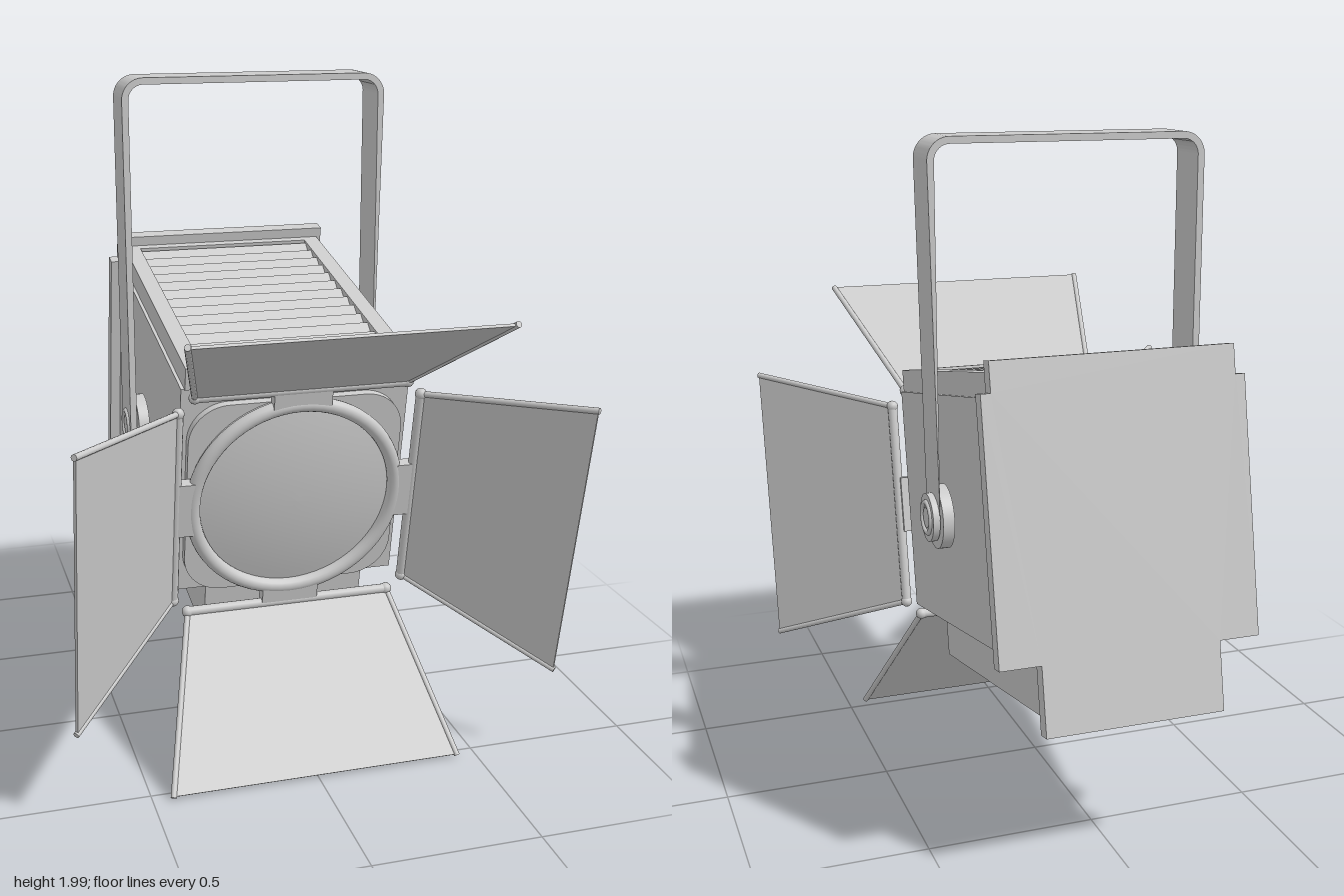
import * as THREE from 'three';
import { toCreasedNormals } from 'three/addons/utils/BufferGeometryUtils.js';

const material = new THREE.MeshStandardMaterial({ color: 0xcccccc, side: THREE.DoubleSide });

function add(parent, name, geometry, x = 0, y = 0, z = 0) {
  const mesh = new THREE.Mesh(geometry, material);
  mesh.name = name;
  mesh.position.set(x, y, z);
  parent.add(mesh);
  return mesh;
}

// Box given by its half width and its y and z limits
function addBox(parent, name, halfWidth, y0, y1, z0, z1) {
  return add(parent, name, new THREE.BoxGeometry(halfWidth * 2, y1 - y0, z1 - z0), 0, (y0 + y1) / 2, (z0 + z1) / 2);
}

function polygon(points) {
  return new THREE.Shape(points.map(([x, y]) => new THREE.Vector2(x, y)));
}

function extrude(shape, depth) {
  const geometry = new THREE.ExtrudeGeometry(shape, { depth, bevelEnabled: false, curveSegments: 10 });
  return toCreasedNormals(geometry, 0.6);
}

// Rod between two points in the xy plane
function addRod(parent, name, a, b, radius) {
  const dx = b[0] - a[0], dy = b[1] - a[1];
  const rod = add(parent, name, new THREE.CylinderGeometry(radius, radius, Math.hypot(dx, dy), 12),
    (a[0] + b[0]) / 2, (a[1] + b[1]) / 2, 0);
  rod.rotation.z = -Math.atan2(dx, dy);
}

function roundedRect(w, h, r) {
  const s = new THREE.Shape();
  s.absarc(w - r, h - r, r, 0, Math.PI / 2);
  s.absarc(r - w, h - r, r, Math.PI / 2, Math.PI);
  s.absarc(r - w, r - h, r, Math.PI, Math.PI * 1.5);
  s.absarc(w - r, r - h, r, Math.PI * 1.5, Math.PI * 2);
  s.closePath();
  return s;
}

function buildHousing() {
  const housing = new THREE.Group();
  housing.name = 'housing';
  addBox(housing, 'body', 0.345, -0.333, 0.351, -0.465, 0.458);
  addBox(housing, 'lowerBox', 0.25, -0.511, -0.333, -0.465, 0.458);

  // Stepped back plate
  const half = [[0.26, -0.557], [0.26, -0.36], [0.378, -0.36], [0.378, 0.366], [0.35, 0.366], [0.35, 0.45]];
  const mirrored = half.map(([x, y]) => [-x, y]).reverse();
  add(housing, 'backPlate', extrude(polygon([...half, ...mirrored]), 0.045), 0, 0, -0.507);

  // Vent frame on top, with tilted slats in its opening
  const frame = polygon([[-0.335, -0.465], [0.335, -0.465], [0.335, 0.465], [-0.335, 0.465]]);
  frame.holes.push(polygon([[-0.285, -0.435], [-0.285, 0.435], [0.285, 0.435], [0.285, -0.435]]));
  add(housing, 'ventFrame', extrude(frame, 0.068), 0, 0.351, 0).rotation.x = -Math.PI / 2;
  for (let i = 0; i < 13; i++) {
    const slat = add(housing, 'ventSlat', new THREE.BoxGeometry(0.57, 0.01, 0.045), 0, 0.398, -0.405 + i * 0.0655);
    slat.rotation.x = 0.5;
  }
  return housing;
}

function buildLens() {
  const lens = new THREE.Group();
  lens.name = 'lensAssembly';
  lens.position.y = -0.013;
  add(lens, 'frontPlate', extrude(roundedRect(0.325, 0.315, 0.12), 0.025), 0, 0, 0.458);
  const barrel = add(lens, 'lensBarrel', new THREE.CylinderGeometry(0.325, 0.325, 0.05, 64, 1, true), 0, 0, 0.485);
  barrel.rotation.x = Math.PI / 2;
  add(lens, 'lensRing', new THREE.TorusGeometry(0.312, 0.022, 16, 64), 0, 0, 0.508);
  // Shallow domed glass
  const profile = [];
  for (let i = 0; i <= 8; i++) {
    const r = 0.3 * (1 - i / 8);
    profile.push(new THREE.Vector2(r, 0.03 * (1 - (r / 0.3) ** 2)));
  }
  add(lens, 'lensGlass', new THREE.LatheGeometry(profile, 64), 0, 0, 0.5).rotation.x = Math.PI / 2;
  return lens;
}

// One flap above the lens, later turned to each of the four sides
function buildBarnDoor() {
  const side = new THREE.Group();
  addBox(side, 'hingeTab', 0.087, 0.31, 0.36, 0.49, 0.528);
  const door = new THREE.Group();
  door.name = 'doorFlap';
  door.position.set(0, 0.364, 0.515);
  door.rotation.x = 0.846;
  side.add(door);
  const panel = polygon([[-0.318, 0], [0.318, 0], [0.44, 0.535], [-0.44, 0.535]]);
  add(door, 'doorPanel', extrude(panel, 0.008), 0, 0, -0.004);
  addRod(door, 'hingeRod', [-0.32, 0], [0.32, 0], 0.015);
  for (const s of [-1, 1]) {
    addRod(door, 'doorRim', [s * 0.318, 0], [s * 0.44, 0.538], 0.009);
    add(door, 'hingeEnd', new THREE.SphereGeometry(0.018, 12, 8), s * 0.318, 0, 0);
  }
  return side;
}

function buildBracket() {
  const bracket = new THREE.Group();
  bracket.name = 'bracket';
  // Upside-down U strap around the housing, measured from the pivot
  const top = 1.085, r = 0.065, w = 0.41, t = 0.02;
  const strap = new THREE.Shape();
  strap.moveTo(w, 0);
  strap.absarc(w - r, top - r, r, 0, Math.PI / 2);
  strap.absarc(r - w, top - r, r, Math.PI / 2, Math.PI);
  strap.lineTo(-w, 0);
  strap.lineTo(t - w, 0);
  strap.absarc(r - w, top - r, r - t, Math.PI, Math.PI / 2, true);
  strap.absarc(w - r, top - r, r - t, Math.PI / 2, 0, true);
  strap.lineTo(w - t, 0);
  strap.closePath();
  add(bracket, 'strap', extrude(strap, 0.142), 0, 0, -0.071);
  for (const s of [-1, 1]) {
    const disc = (name, radius, x, thickness) => {
      const geometry = new THREE.CylinderGeometry(radius, radius, thickness, 40);
      add(bracket, name, geometry, s * x, 0, 0).rotation.z = Math.PI / 2;
    };
    disc('strapEnd', 0.071, 0.4, 0.02);
    disc('pivotWasher', 0.094, 0.37, 0.034);
    disc('pivotBolt', 0.03, 0.36, 0.106);
    add(bracket, 'pivotRing', new THREE.TorusGeometry(0.045, 0.008, 10, 40), s * 0.41, 0, 0).rotation.y = Math.PI / 2;
  }
  return bracket;
}

export function createModel() {
  const model = new THREE.Group();
  model.name = 'stageLight';

  const pivot = new THREE.Group();
  pivot.name = 'pivot';
  pivot.position.set(0, 0.915, -0.22);
  model.add(pivot);
  pivot.add(buildBracket());

  // Lamp head tilted down about the pivot
  const head = new THREE.Group();
  head.name = 'lampHead';
  head.rotation.x = 0.196;
  pivot.add(head);
  const lens = buildLens();
  head.add(buildHousing(), lens);

  ['topDoor', 'leftDoor', 'bottomDoor', 'rightDoor'].forEach((name, i) => {
    const door = buildBarnDoor();
    door.name = name;
    door.rotation.z = -i * Math.PI / 2;
    lens.add(door);
  });
  return model;
}
